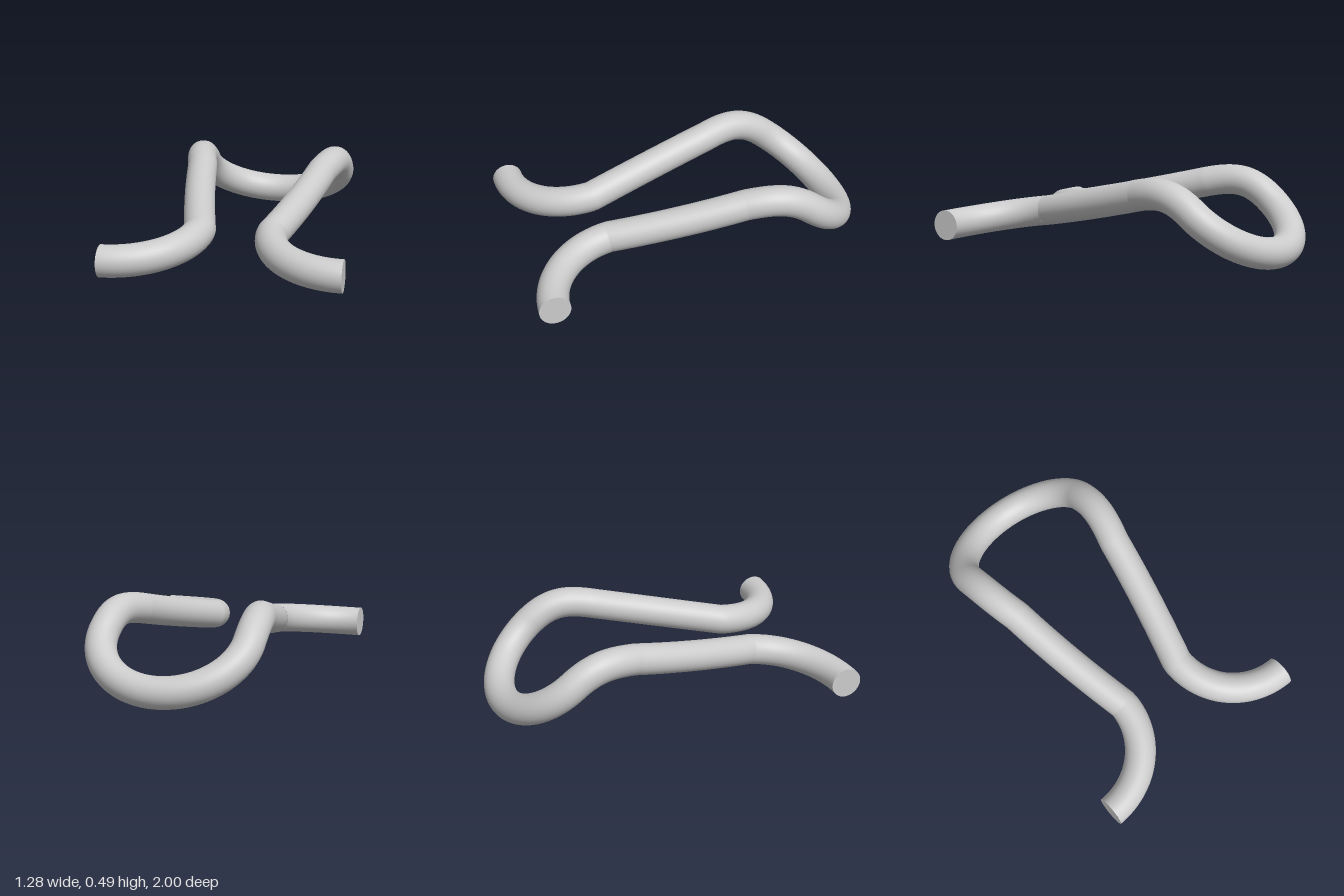
import * as THREE from 'three';

const RADIUS = 0.087;
const SIDES = 40;

// Centre line of one half, from the open end to the middle of the loop (cubic Bezier spans)
const HALF = [
  // outward-turned foot
  [[0.64, 0.155, 0.913], [0.4, 0.155, 0.913], [0.2, 0.19, 0.74], [0.2, 0.225, 0.5]],
  // rising arm
  [[0.2, 0.225, 0.5], [0.265, 0.274, 0.25], [0.32, 0.329, 0], [0.36, 0.39, -0.25]],
  // shoulder bend
  [[0.36, 0.39, -0.25], [0.4, 0.419, -0.39], [0.415, 0.427, -0.487], [0.415, 0.326, -0.617]],
  // half of the sloping end loop
  [[0.415, 0.326, -0.617], [0.415, 0.196, -0.78], [0.23, 0.09, -0.913], [0, 0.09, -0.913]],
];

const toCurve = (points) =>
  new THREE.CubicBezierCurve3(...points.map((p) => new THREE.Vector3(...p)));

const mirrored = (points) => points.map(([x, y, z]) => [-x, y, z]).reverse();

export function createModel() {
  const model = new THREE.Group();
  model.name = 'bentRod';
  const material = new THREE.MeshStandardMaterial({ color: 0xcccccc });

  // Continuous rod: one half followed by its mirror image
  const path = new THREE.CurvePath();
  path.arcLengthDivisions = 1000;
  HALF.forEach((span) => path.add(toCurve(span)));
  [...HALF].reverse().forEach((span) => path.add(toCurve(mirrored(span))));

  const rod = new THREE.Mesh(new THREE.TubeGeometry(path, 300, RADIUS, SIDES, false), material);
  rod.name = 'rod';
  model.add(rod);

  // Flat ends facing sideways
  for (const side of [1, -1]) {
    const cap = new THREE.Mesh(new THREE.CircleGeometry(RADIUS, SIDES), material);
    cap.name = side > 0 ? 'leftEndCap' : 'rightEndCap';
    cap.position.set(side * 0.64, 0.155, 0.913);
    cap.rotation.y = (side * Math.PI) / 2;
    model.add(cap);
  }

  return model;
}
